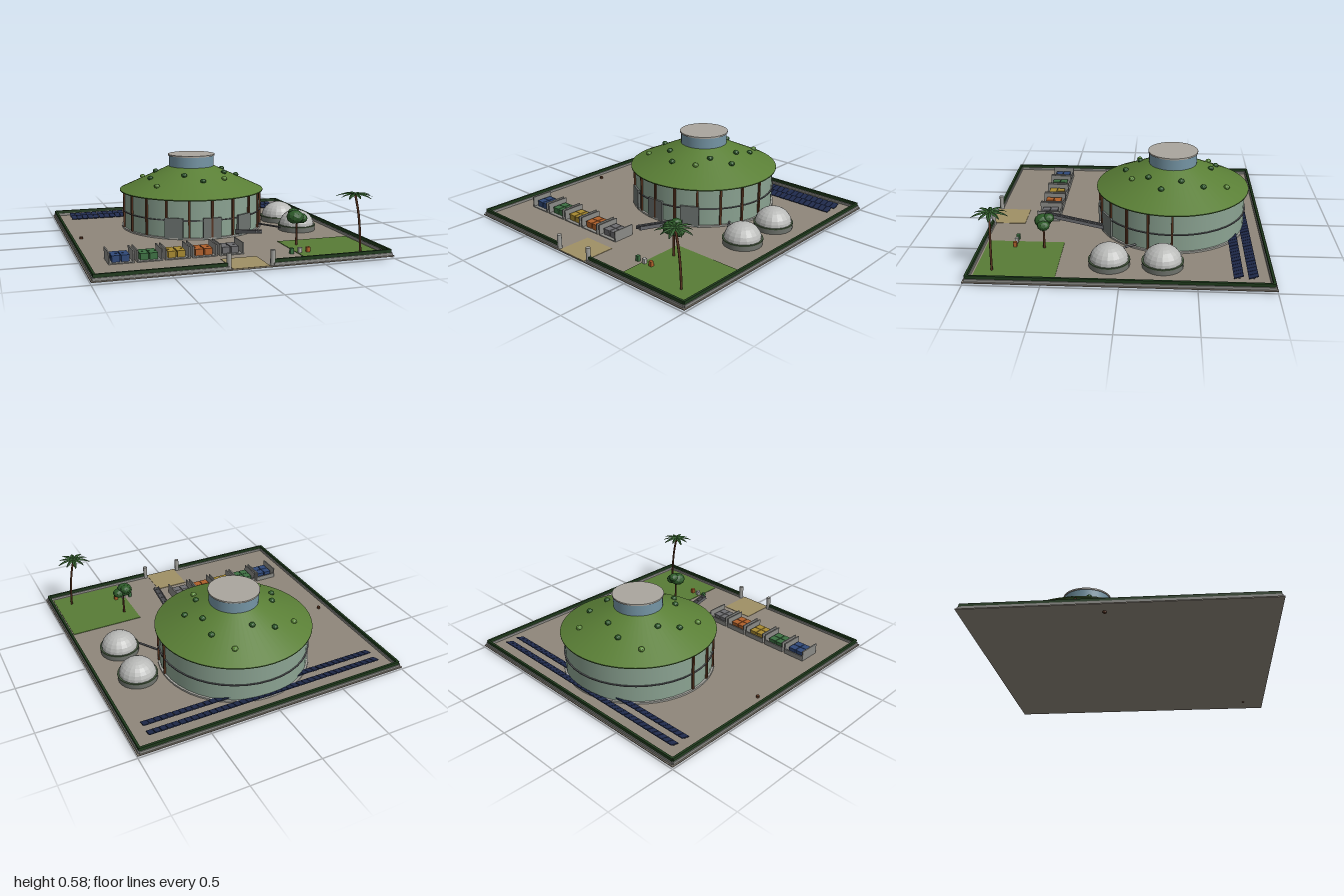
import * as THREE from 'three';

const mat = (color, flat = false, side = THREE.FrontSide) =>
  new THREE.MeshStandardMaterial({ color, flatShading: flat, side });

export function createModel() {
  const root = new THREE.Group();
  const GROUND = 0.02;

  const add = (name, geo, material, x = 0, y = 0, z = 0, parent = root) => {
    const m = new THREE.Mesh(geo, material);
    m.name = name;
    m.position.set(x, y, z);
    parent.add(m);
    return m;
  };
  const group = (name, x = 0, y = 0, z = 0, parent = root) => {
    const g = new THREE.Group();
    g.name = name;
    g.position.set(x, y, z);
    parent.add(g);
    return g;
  };
  // Box and cylinder given by their bottom and top heights
  const box = (name, m, w, d, y0, y1, x, z, parent) =>
    add(name, new THREE.BoxGeometry(w, y1 - y0, d), m, x, (y0 + y1) / 2, z, parent);
  const cyl = (name, m, rTop, rBot, y0, y1, x, z, seg, parent) =>
    add(name, new THREE.CylinderGeometry(rTop, rBot, y1 - y0, seg), m, x, (y0 + y1) / 2, z, parent);

  const concrete = mat(0x8a8a86);
  const darkGrey = mat(0x55565a);
  const hedgeGreen = mat(0x1f3a1c);
  const leafDark = mat(0x2c5a28, true);
  const leafLight = mat(0x5c8a38, true);
  const brown = mat(0x57331f);

  // Site: ground, lawn and entrance path
  box('ground', mat(0x8f877b), 2, 2, 0.013, GROUND, 0, 0);
  box('lawn', mat(0x587c36), 0.535, 0.535, GROUND, 0.024, 0.683, 0.683);
  box('entrancePath', mat(0xa09065), 0.245, 0.25, GROUND, 0.023, 0, 0.873);

  // Kerb with hedge on all sides, open at the gate
  const border = (w, d, x, z) => {
    box('kerb', concrete, w + 0.012, d + 0.012, GROUND, 0.038, x, z);
    box('hedge', hedgeGreen, w, d, 0.038, 0.06, x, z);
  };
  border(0.016, 1.96, -0.978, 0);
  border(0.016, 1.96, 0.978, 0);
  border(1.96, 0.016, 0, -0.978);
  for (const s of [-1, 1]) {
    border(0.825, 0.016, s * 0.567, 0.978);
    cyl('gatePost', mat(0xa0a09c), 0.016, 0.016, GROUND, 0.12, s * 0.145, 0.975, 12);
  }

  // Round main hall
  const hall = group('mainHall', 0, 0, -0.335);
  cyl('plinth', mat(0xa5a59f), 0.542, 0.542, GROUND, 0.032, 0, 0, 48, hall);
  cyl('glassWall', mat(0x8ba392), 0.528, 0.528, GROUND, 0.305, 0, 0, 40, hall);
  cyl('wallBand', darkGrey, 0.537, 0.537, 0.152, 0.159, 0, 0, 40, hall);
  for (let k = -5; k <= 5; k++) {
    const a = k * Math.PI / 10;
    const c = box('column', brown, 0.015, 0.015, GROUND, 0.305, 0.533 * Math.sin(a), 0.533 * Math.cos(a), hall);
    c.rotation.y = a;
  }
  for (const k of [-1, 0, 1]) {
    const a = k * Math.PI / 6;
    const d = box('door', mat(0x6c726f), 0.135, 0.02, GROUND, 0.175, 0.53 * Math.sin(a), 0.53 * Math.cos(a), hall);
    d.rotation.y = a;
  }
  cyl('roofEdge', mat(0x40602a), 0.553, 0.553, 0.302, 0.309, 0, 0, 64, hall);
  cyl('greenRoof', mat(0x5a7f36), 0.165, 0.552, 0.309, 0.488, 0, 0, 64, hall);
  cyl('skylightDrum', mat(0x7595a5), 0.173, 0.173, 0.475, 0.565, 0, 0, 32, hall);
  cyl('skylightCap', mat(0xaaa69e), 0.18, 0.18, 0.565, 0.576, 0, 0, 48, hall);

  // Shrubs dotted over the roof: x, z, light or dark
  const shrubs = [
    [0.19, -0.715, 1], [-0.145, -0.655, 0], [0.005, -0.61, 0], [-0.325, -0.61, 1], [0.277, -0.548, 0],
    [-0.267, -0.404, 0], [0.267, -0.393, 0], [-0.342, -0.27, 0], [0.337, -0.254, 0], [0.208, -0.163, 0],
    [-0.337, 0.083 - 0.166, 1], [-0.126, -0.094, 0], [-0.01, 0.008, 0], [0.171, -0.045, 1],
  ];
  const shrubGeo = new THREE.IcosahedronGeometry(0.022, 1);
  for (const [x, z, light] of shrubs) {
    const r = Math.hypot(x, z + 0.335);
    const y = 0.309 + (0.552 - r) * 0.179 / 0.387 + 0.007;
    add('roofShrub', shrubGeo, light ? leafLight : leafDark, x, y, z).scale.y = 0.8;
  }

  // Two faceted domes on round bases, with a pipe to the hall
  for (const z of [-0.275, 0.08]) {
    const g = group('domeTank', 0.71, 0, z);
    cyl('domeBase', mat(0x6e726c), 0.138, 0.138, GROUND, 0.06, 0, 0, 24, g);
    cyl('domeRim', mat(0x46583f), 0.141, 0.141, 0.055, 0.063, 0, 0, 24, g);
    add('dome', new THREE.SphereGeometry(0.13, 18, 7, 0, Math.PI * 2, 0, Math.PI / 2),
      mat(0xb9bab8, true), 0, 0.06, 0, g).scale.y = 0.85;
  }
  const tube = (name, pts, r, m, seg) => add(name,
    new THREE.TubeGeometry(new THREE.CatmullRomCurve3(pts.map(p => new THREE.Vector3(...p))), seg, r, 8), m);
  tube('pipe', [[0.46, 0.045, -0.09], [0.59, 0.045, 0.11]], 0.007, darkGrey, 1);

  // Inclined conveyor rising away from the hall
  const conveyor = group('conveyor', 0.208, 0.097, 0.365);
  conveyor.rotation.x = -Math.atan2(0.09, 0.42);
  box('belt', mat(0x45464a), 0.03, 0.44, -0.008, 0.006, 0, 0, conveyor);
  for (const s of [-1, 1]) box('sideRail', mat(0x66676b), 0.006, 0.44, -0.012, 0.014, s * 0.018, 0, conveyor);
  for (let i = 0; i < 9; i++) box('beltCleat', darkGrey, 0.03, 0.006, 0.006, 0.01, 0, -0.2 + i * 0.05, conveyor);

  // Five sorting bays, each with four containers of one colour
  [0x2f4878, 0x3c7042, 0xa88a30, 0xb0602a, 0x6d6d70].forEach((color, i) => {
    const bay = group('sortingBay', -0.754 + i * 0.1845, 0, 0.582);
    box('bayFloor', concrete, 0.165, 0.165, GROUND, 0.026, 0, 0, bay);
    box('backWall', concrete, 0.165, 0.01, GROUND, 0.055, 0, -0.078, bay);
    for (const s of [-1, 1]) {
      box('sideWall', concrete, 0.009, 0.165, GROUND, 0.098, s * 0.079, 0, bay);
      for (const t of [-1, 1]) {
        box('container', mat(color), 0.052, 0.052, 0.026, 0.066, s * 0.031, t * 0.03, bay);
        box('containerLid', mat(color), 0.056, 0.056, 0.064, 0.07, s * 0.031, t * 0.03, bay);
      }
    }
  });

  // Small bins beside the lawn
  [0x3c7042, 0xb5b5b0, 0xb0602a].forEach((c, i) =>
    box('smallBin', mat(c), 0.024, 0.024, GROUND, 0.058, 0.374 + i * 0.059, 0.75));

  // Two rows of tilted solar panels, in groups of five
  const panelMat = mat(0x202b4d);
  for (const z of [-0.858, -0.763]) {
    const row = group('solarRow', 0, 0.04, z);
    row.rotation.x = 0.3;
    for (let i = 0; i < 40; i++) {
      const x = -0.858 + i * 0.0435 + Math.floor(i / 5) * 0.0025;
      box('solarPanel', panelMat, 0.04, 0.064, -0.003, 0.003, x, 0, row);
    }
    box('panelRail', darkGrey, 1.75, 0.012, -0.009, -0.003, 0, 0, row);
  }

  // Leafy tree
  cyl('treeTrunk', brown, 0.006, 0.009, GROUND, 0.21, 0.5, 0.545, 8);
  for (const [x, y, z, r] of [[0.485, 0.222, 0.55, 0.06], [0.535, 0.208, 0.54, 0.044], [0.49, 0.245, 0.51, 0.04]])
    add('treeFoliage', new THREE.IcosahedronGeometry(r, 1), leafDark, x, y, z).scale.y = 0.8;

  // Palm: leaning trunk and a crown of thin folded fronds
  tube('palmTrunk', [[0.835, 0.004, 0.84], [0.827, 0.15, 0.84], [0.81, 0.29, 0.84], [0.782, 0.415, 0.84]], 0.008, brown, 12);
  const frondGeo = new THREE.PlaneGeometry(0.125, 0.024, 6, 2);
  const p = frondGeo.attributes.position;
  for (let i = 0; i < p.count; i++) {
    const t = p.getX(i) / 0.125 + 0.5;
    const w = p.getY(i) * (0.2 + 1.1 * Math.sin(Math.PI * Math.min(1, t * 0.95 + 0.05)));
    p.setXYZ(i, t * 0.125, 0.045 * t - 0.06 * t * t - Math.abs(w) * 0.4, w);
  }
  frondGeo.computeVertexNormals();
  const frondMat = mat(0x2f5a2a, true, THREE.DoubleSide);
  const crown = group('palmCrown', 0.782, 0.415, 0.84);
  for (let i = 0; i < 10; i++) {
    const f = add('palmFrond', frondGeo, frondMat, 0, 0, 0, crown);
    f.rotation.y = i * Math.PI / 5 + 0.15;
    f.scale.setScalar(i % 2 ? 0.88 : 1);
  }

  // Short stump near the side hedge
  cyl('stump', brown, 0.012, 0.012, 0, 0.035, -0.9, -0.088, 8);

  return root;
}
